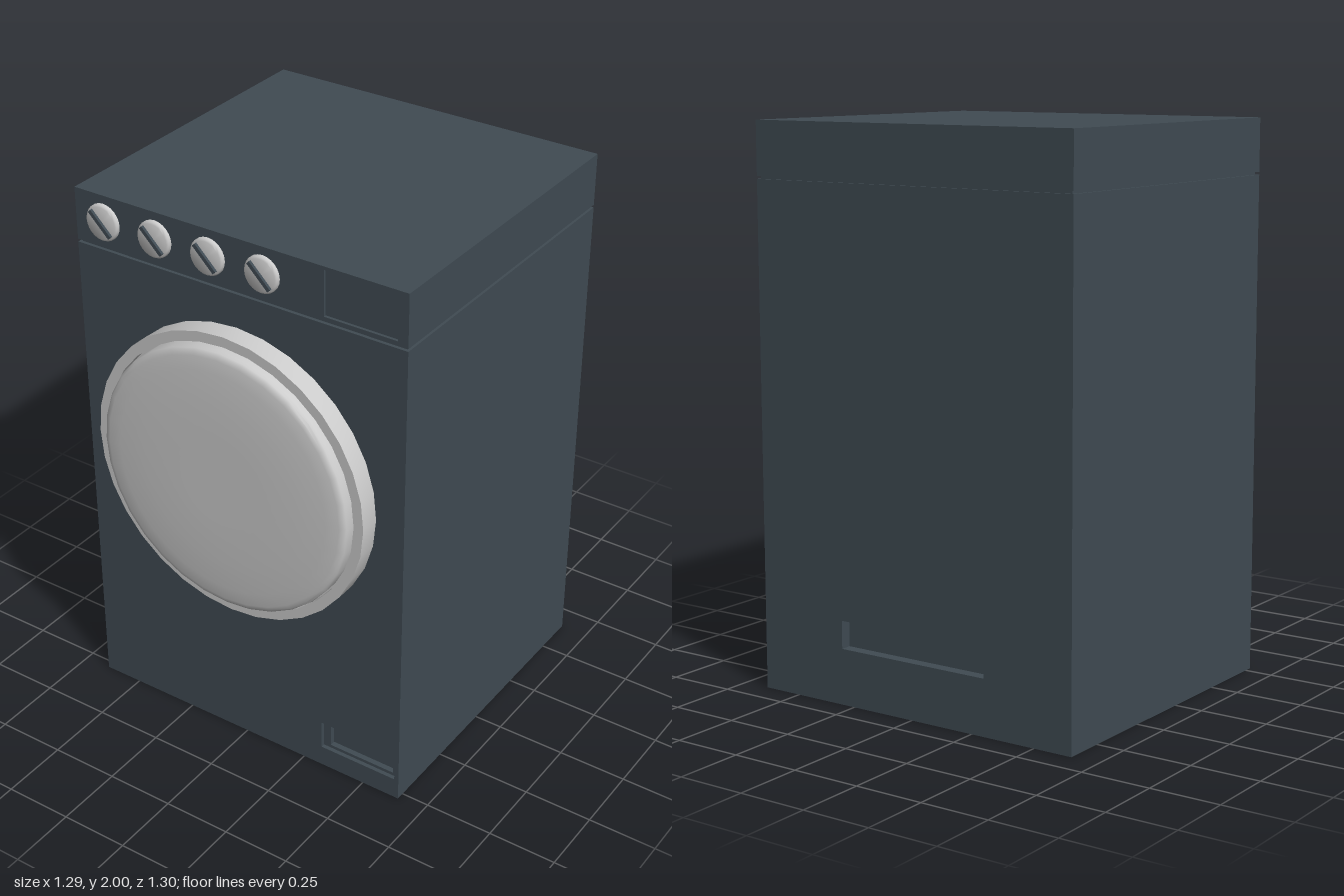
import * as THREE from 'three';
import { toCreasedNormals } from 'three/addons/utils/BufferGeometryUtils.js';

const HALF_W = 0.647, BACK = -0.652, FRONT = 0.53;

const dark = new THREE.MeshStandardMaterial({ color: 0x404b53 });
const grey = new THREE.MeshStandardMaterial({ color: 0xcccccc });

function add(parent, name, geometry, material) {
  const mesh = new THREE.Mesh(geometry, material);
  mesh.name = name;
  parent.add(mesh);
  return mesh;
}

// Box given by its limits
function block(parent, name, [x0, x1], [y0, y1], [z0, z1], material = dark) {
  const mesh = add(parent, name, new THREE.BoxGeometry(x1 - x0, y1 - y0, z1 - z0), material);
  mesh.position.set((x0 + x1) / 2, (y0 + y1) / 2, (z0 + z1) / 2);
  return mesh;
}

function trace(path, [x0, x1], [y0, y1]) {
  path.moveTo(x0, y0);
  path.lineTo(x1, y0);
  path.lineTo(x1, y1);
  path.lineTo(x0, y1);
  path.closePath();
  return path;
}

// Full-width slab with a rectangular opening
function slab(parent, name, ys, [z0, z1], holeX, holeY) {
  const shape = trace(new THREE.Shape(), [-HALF_W, HALF_W], ys);
  shape.holes.push(trace(new THREE.Path(), holeX, holeY));
  const geometry = new THREE.ExtrudeGeometry(shape, { depth: z1 - z0, bevelEnabled: false });
  add(parent, name, geometry, dark).position.z = z0;
}

// Turned part whose axis points along +z
function turned(parent, name, profile, sides, material = grey) {
  const points = profile.map(([r, z]) => new THREE.Vector2(r, z));
  const geometry = new THREE.LatheGeometry(points, sides).rotateX(Math.PI / 2);
  return add(parent, name, toCreasedNormals(geometry, 0.6), material);
}

export function createModel() {
  const model = new THREE.Group();
  model.name = 'washingMachine';
  const width = [-HALF_W, HALF_W];

  // Cabinet: core, stepped filter recess in front, hand slot behind
  const cabinet = new THREE.Group();
  cabinet.name = 'cabinet';
  model.add(cabinet);
  const cabinetY = [0, 1.8];
  block(cabinet, 'cabinetCore', width, cabinetY, [BACK + 0.04, FRONT - 0.035]);
  slab(cabinet, 'filterInnerStep', cabinetY, [FRONT - 0.035, FRONT - 0.015], [0.355, 0.615], [0.092, 0.18]);
  slab(cabinet, 'frontPanel', cabinetY, [FRONT - 0.015, FRONT], [0.325, 0.63], [0.08, 0.19]);
  slab(cabinet, 'backPanel', cabinetY, [BACK, BACK + 0.04], [-0.3, 0.3], [0.2, 0.3]);

  // Shadow gap below the control section
  block(model, 'seam', [-HALF_W + 0.01, HALF_W - 0.01], [1.79, 1.82], [BACK + 0.01, FRONT - 0.012]);

  // Control section with shallow detergent drawer
  const controls = new THREE.Group();
  controls.name = 'controlSection';
  model.add(controls);
  const controlY = [1.81, 2];
  block(controls, 'topCore', width, controlY, [BACK, FRONT - 0.01]);
  slab(controls, 'controlPanel', controlY, [FRONT - 0.01, FRONT], [0.338, 0.61], [1.825, 1.988]);

  // Dials with a slanted grip
  for (const x of [-0.53, -0.318, -0.105, 0.107]) {
    const dial = new THREE.Group();
    dial.name = 'dial';
    dial.position.set(x, 1.905, FRONT);
    controls.add(dial);
    turned(dial, 'dialBase', [[0.066, -0.005], [0.066, 0.007], [0.063, 0.012], [0.057, 0.015], [0, 0.015]], 24);
    const grip = block(dial, 'dialGrip', [-0.056, 0.056], [-0.007, 0.007], [0.01, 0.025]);
    grip.rotation.z = -Math.PI / 4;
  }

  // Door: rim with inner groove, and a softly domed cover
  const door = new THREE.Group();
  door.name = 'door';
  door.position.set(0, 1.138, FRONT);
  model.add(door);
  turned(door, 'doorRim', [[0.54, -0.005], [0.54, 0.075], [0.503, 0.075], [0.503, 0.045], [0.48, 0.045]], 32);
  turned(door, 'doorCover', [
    [0.496, 0.04], [0.496, 0.09], [0.493, 0.1], [0.485, 0.107], [0.47, 0.111],
    [0.42, 0.115], [0.31, 0.122], [0.15, 0.122], [0, 0.122],
  ], 32);

  return model;
}
